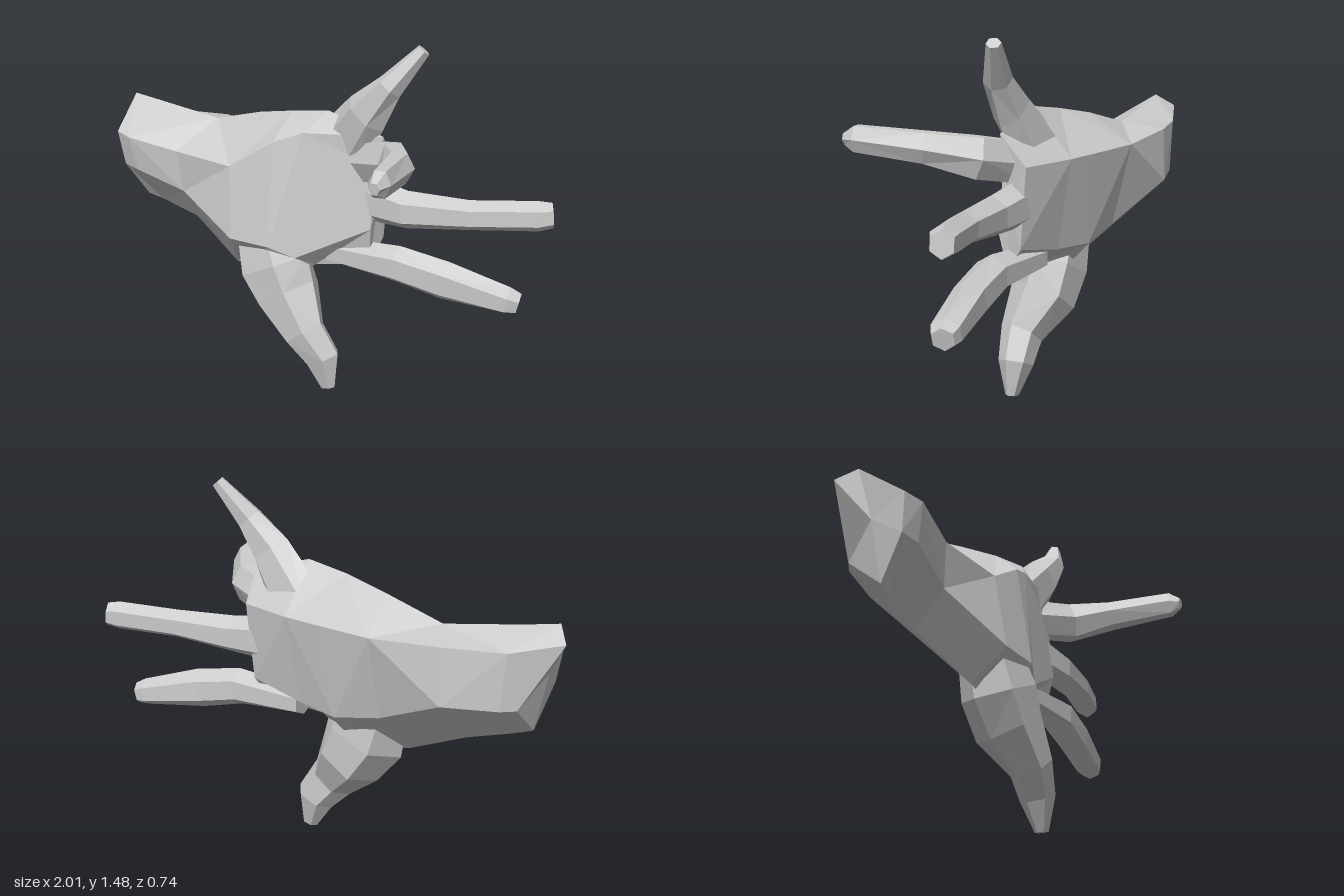
import * as THREE from 'three';

const material = new THREE.MeshStandardMaterial({ color: 0xcccccc, flatShading: true });

// Skins a list of equal-sized rings and closes both ends
function loft(name, rings) {
  const tris = [];
  const n = rings[0].length;
  for (let i = 0; i < rings.length - 1; i++) {
    for (let k = 0; k < n; k++) {
      const a = rings[i][k], b = rings[i][(k + 1) % n];
      const c = rings[i + 1][k], d = rings[i + 1][(k + 1) % n];
      if ((i + k) % 2) tris.push([a, b, c], [b, d, c]);
      else tris.push([a, b, d], [a, d, c]);
    }
  }
  const cap = (ring, flip) => {
    const mid = ring.reduce((s, p) => s.add(p), new THREE.Vector3()).divideScalar(n);
    ring.forEach((p, k) => {
      const q = ring[(k + 1) % n];
      tris.push(flip ? [mid, q, p] : [mid, p, q]);
    });
  };
  cap(rings[0], true);
  cap(rings[rings.length - 1], false);

  // Signed volume decides whether the corners must be reversed
  const cross = new THREE.Vector3();
  const volume = tris.reduce((s, [a, b, c]) => s + a.dot(cross.crossVectors(b, c)), 0);
  if (volume < 0) tris.forEach((t) => t.reverse());

  const geometry = new THREE.BufferGeometry().setFromPoints(tris.flat());
  geometry.computeVertexNormals();
  const mesh = new THREE.Mesh(geometry, material);
  mesh.name = name;
  return mesh;
}

// Six-sided tapering finger; each joint is [x, y, z, halfWidth, halfDepth]
function finger(name, joints, reference = new THREE.Vector3(0, 0, 1)) {
  const centres = joints.map((j) => new THREE.Vector3(j[0], j[1], j[2]));
  const last = joints.length - 1;
  const rings = joints.map(([, , , w, d], i) => {
    const dir = centres[Math.min(i + 1, last)].clone().sub(centres[Math.max(i - 1, 0)]).normalize();
    const u = new THREE.Vector3().crossVectors(dir, reference).normalize();
    const v = new THREE.Vector3().crossVectors(u, dir);
    return Array.from({ length: 6 }, (_, k) => {
      const a = (k * Math.PI) / 3;
      return centres[i].clone()
        .addScaledVector(u, w * Math.cos(a))
        .addScaledVector(v, d * 1.12 * Math.sin(a));
    });
  });
  return loft(name, rings);
}

// Palm slice: top, upper front, lower front, bottom, lower back, upper back
const slice = (...points) => points.map((p) => new THREE.Vector3(...p));

export function createModel() {
  const hand = new THREE.Group();
  hand.name = 'hand';

  // Wrist and palm, from the slanted wrist end to the knuckles
  hand.add(loft('palm', [
    slice([-0.95, 1.11, -0.13], [-0.9, 0.98, 0.05], [-0.88, 0.83, 0.03],
      [-0.85, 0.67, -0.08], [-0.85, 0.8, -0.24], [-1.0, 1.06, -0.2]),
    slice([-0.82, 1.09, -0.15], [-0.82, 0.97, 0.07], [-0.8, 0.82, 0.04],
      [-0.78, 0.65, -0.1], [-0.8, 0.8, -0.28], [-0.82, 1.02, -0.28]),
    slice([-0.52, 1.05, -0.18], [-0.6, 0.93, 0.01], [-0.58, 0.75, -0.01],
      [-0.6, 0.6, -0.12], [-0.6, 0.8, -0.35], [-0.6, 1.02, -0.34]),
    slice([-0.27, 1.12, -0.16], [-0.3, 0.92, 0.02], [-0.27, 0.62, 0.06],
      [-0.33, 0.47, -0.06], [-0.3, 0.66, -0.26], [-0.3, 1.0, -0.34]),
    slice([-0.08, 1.16, -0.13], [-0.1, 1.05, -0.01], [-0.08, 0.62, 0.05],
      [-0.1, 0.42, -0.08], [-0.1, 0.62, -0.26], [-0.05, 1.0, -0.31]),
    slice([0.1, 1.19, -0.12], [0.02, 1.1, -0.05], [0.02, 0.58, 0.0],
      [0.07, 0.54, -0.08], [0.08, 0.63, -0.22], [0.1, 1.0, -0.29]),
    slice([0.35, 1.12, -0.13], [0.31, 1.0, -0.12], [0.32, 0.74, -0.1],
      [0.3, 0.58, -0.13], [0.32, 0.68, -0.2], [0.33, 1.0, -0.23]),
  ]));

  // Thumb reaching down
  hand.add(finger('thumb', [
    [-0.2, 0.68, -0.08, 0.14, 0.1],
    [-0.13, 0.5, -0.07, 0.18, 0.125],
    [-0.06, 0.38, -0.07, 0.15, 0.12],
    [0.05, 0.24, -0.035, 0.1, 0.075],
    [0.125, 0.14, -0.055, 0.085, 0.06],
    [0.155, 0.01, -0.055, 0.035, 0.022],
  ]));

  // Two straight fingers bending slightly back
  hand.add(finger('indexFinger', [
    [0.12, 0.6, -0.14, 0.055, 0.06],
    [0.43, 0.605, -0.145, 0.078, 0.065],
    [0.62, 0.57, -0.18, 0.083, 0.06],
    [0.86, 0.525, -0.245, 0.057, 0.055],
    [0.9, 0.515, -0.26, 0.045, 0.04],
  ]));
  hand.add(finger('middleFinger', [
    [0.22, 0.85, -0.165, 0.1, 0.06],
    [0.45, 0.835, -0.16, 0.078, 0.065],
    [0.7, 0.85, -0.21, 0.06, 0.055],
    [0.94, 0.87, -0.3, 0.06, 0.05],
    [0.985, 0.875, -0.325, 0.05, 0.04],
  ]));

  // Finger curling forward out of the palm
  hand.add(finger('ringFinger', [
    [0.2, 0.99, -0.17, 0.06, 0.08],
    [0.43, 1.04, -0.08, 0.068, 0.08],
    [0.54, 1.08, 0.07, 0.06, 0.058],
    [0.62, 1.1, 0.33, 0.042, 0.05],
    [0.625, 1.095, 0.375, 0.022, 0.022],
  ], new THREE.Vector3(0, 1, 0)));

  // Little finger spread upward
  hand.add(finger('littleFinger', [
    [0.1, 0.98, -0.17, 0.14, 0.06],
    [0.27, 1.2, -0.13, 0.095, 0.06],
    [0.37, 1.32, -0.135, 0.055, 0.05],
    [0.48, 1.465, -0.19, 0.027, 0.025],
  ]));

  return hand;
}
